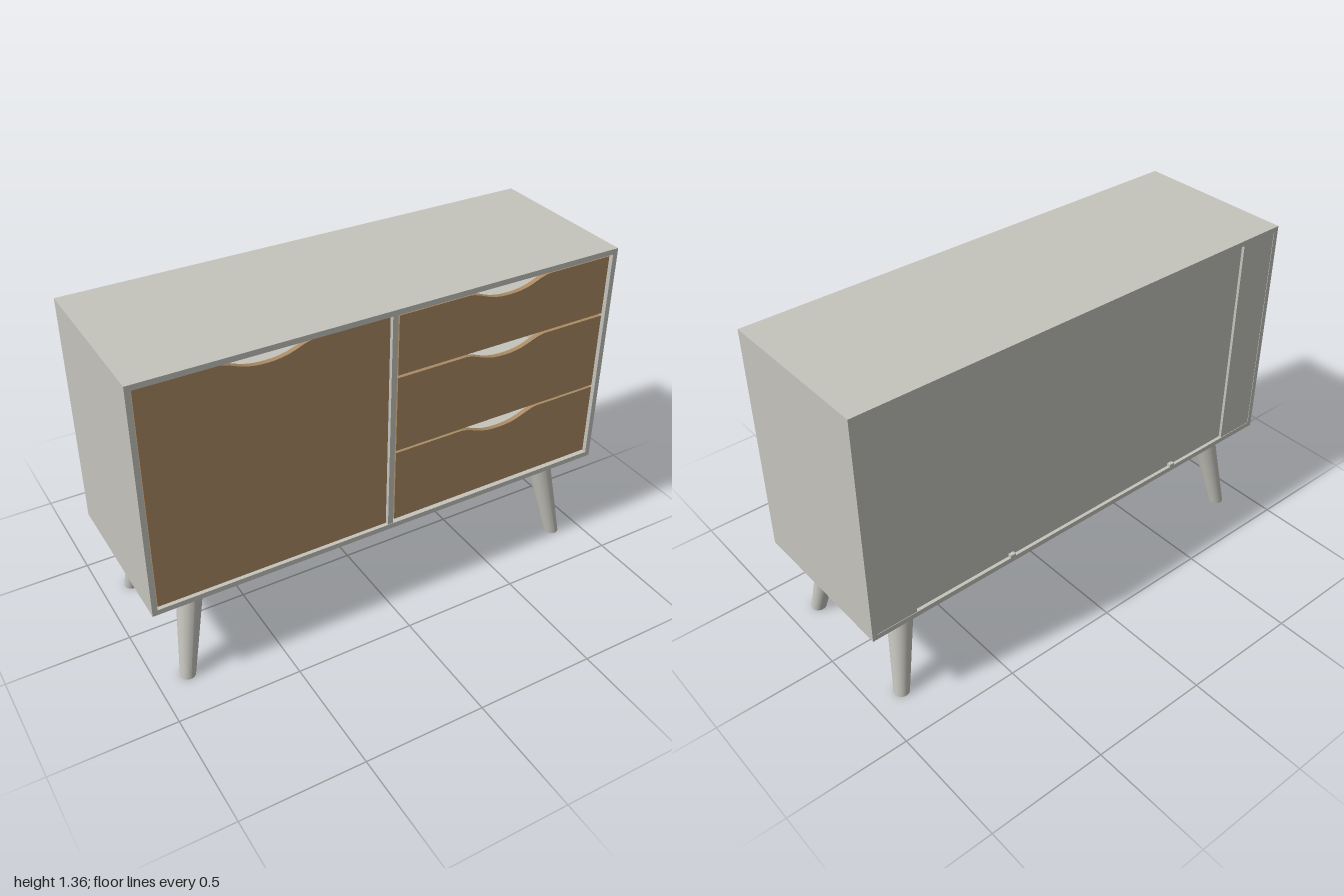
import * as THREE from 'three';

const paint = new THREE.MeshStandardMaterial({ name: 'warm grey paint', color: 0xc4c3bc });
const wood = new THREE.MeshStandardMaterial({ name: 'oak wood', color: 0xa98a63 });
const metal = new THREE.MeshStandardMaterial({ name: 'black metal', color: 0x141414 });

function mesh(parent, name, geometry, material) {
  const m = new THREE.Mesh(geometry, material);
  m.name = name;
  parent.add(m);
  return m;
}

// Box given by its extents along each axis
function slab(parent, name, material, [x0, x1], [y0, y1], [z0, z1]) {
  const g = new THREE.BoxGeometry(x1 - x0, y1 - y0, z1 - z0);
  g.translate((x0 + x1) / 2, (y0 + y1) / 2, (z0 + z1) / 2);
  return mesh(parent, name, g, material);
}

// Front panel with a curved finger pull cut into its top edge
function frontPanel(parent, name, x0, x1, y0, y1, pullX) {
  const w = 0.18, d = 0.042;
  const s = new THREE.Shape();
  s.moveTo(x0, y0);
  s.lineTo(x1, y0);
  s.lineTo(x1, y1);
  s.lineTo(pullX + w, y1);
  s.bezierCurveTo(pullX + 0.12, y1 - 0.008, pullX + 0.1, y1 - d, pullX, y1 - d);
  s.bezierCurveTo(pullX - 0.1, y1 - d, pullX - 0.12, y1 - 0.008, pullX - w, y1);
  s.lineTo(x0, y1);
  const g = new THREE.ExtrudeGeometry(s, { depth: 0.02, bevelEnabled: false, curveSegments: 10 });
  g.translate(0, 0, 0.314);
  return mesh(parent, name, g, wood);
}

// Tapered leg, sheared so that both ends stay level
function legGeometry(sx, sz) {
  const h = 0.358;
  const g = new THREE.CylinderGeometry(0.052, 0.031, h, 32);
  g.translate(0, h / 2, 0);
  const p = g.attributes.position;
  for (let i = 0; i < p.count; i++) {
    const t = p.getY(i) / h;
    p.setX(i, p.getX(i) + sx * (0.877 - 0.063 * t));
    p.setZ(i, p.getZ(i) + sz * (0.296 - 0.064 * t));
  }
  g.computeVertexNormals();
  return g;
}

// Long base rail with its ends and outer side tapering in towards the bottom
function railGeometry(side) {
  const g = new THREE.BoxGeometry(1.92, 0.025, 0.085);
  const p = g.attributes.position;
  for (let i = 0; i < p.count; i++) {
    if (p.getY(i) > 0) continue;
    p.setX(i, p.getX(i) - Math.sign(p.getX(i)) * 0.022);
    if (p.getZ(i) * side > 0) p.setZ(i, p.getZ(i) - side * 0.02);
  }
  g.translate(0, 0.3775, side * 0.2825);
  g.computeVertexNormals();
  return g;
}

export function createModel() {
  const model = new THREE.Group();
  model.name = 'sideboard';

  // Carcass
  const carcass = new THREE.Group();
  carcass.name = 'carcass';
  model.add(carcass);
  const depth = [-0.34, 0.34];
  slab(carcass, 'topBoard', paint, [-1, 1], [1.338, 1.36], depth);
  slab(carcass, 'bottomBoard', paint, [-1, 1], [0.39, 0.412], depth);
  slab(carcass, 'rightSide', paint, [-1, -0.979], [0.412, 1.338], depth);
  slab(carcass, 'leftSide', paint, [0.979, 1], [0.412, 1.338], depth);
  slab(carcass, 'divider', paint, [-0.011, 0.011], [0.412, 1.338], [-0.31, 0.338]);
  slab(carcass, 'shelf', paint, [-0.979, -0.011], [0.96, 0.98], [-0.31, 0.28]);

  // Recessed back between two upright strips
  slab(carcass, 'backPanel', paint, [-0.81, 0.81], [0.412, 1.338], [-0.326, -0.312]);
  slab(carcass, 'backStripRight', paint, [-0.979, -0.807], [0.412, 1.338], [-0.338, -0.312]);
  slab(carcass, 'backStripLeft', paint, [0.807, 0.979], [0.412, 1.338], [-0.338, -0.312]);
  for (const x of [0.36, -0.5])
    slab(carcass, 'backClip', paint, [x - 0.012, x + 0.012], [0.408, 0.425], [-0.342, -0.324]);

  // Door
  frontPanel(model, 'door', -0.975, -0.019, 0.422, 1.336, -0.5);

  // Drawers, each a front with an open box behind it
  for (const [y0, y1] of [[0.426, 0.742], [0.752, 1.074], [1.085, 1.331]]) {
    const drawer = new THREE.Group();
    drawer.name = 'drawer';
    model.add(drawer);
    frontPanel(drawer, 'drawerFront', 0.019, 0.966, y0, y1, 0.5);
    const sideY = [y0 + 0.02, y1 - 0.06];
    slab(drawer, 'drawerBottom', paint, [0.04, 0.945], [y0 + 0.02, y0 + 0.032], [-0.28, 0.314]);
    slab(drawer, 'drawerSide', paint, [0.03, 0.042], sideY, [-0.29, 0.314]);
    slab(drawer, 'drawerSide', paint, [0.943, 0.955], sideY, [-0.29, 0.314]);
    slab(drawer, 'drawerBack', paint, [0.042, 0.943], sideY, [-0.29, -0.278]);
  }

  // Base frame, leg plates and splayed legs
  const base = new THREE.Group();
  base.name = 'base';
  model.add(base);
  for (const s of [-1, 1]) {
    mesh(base, 'longRail', railGeometry(s), wood);
    slab(base, 'crossRail', wood, [s * 0.812 - 0.042, s * 0.812 + 0.042], [0.365, 0.39], [-0.24, 0.24]);
    for (const t of [-1, 1]) {
      const x = s * 0.812, z = t * 0.216;
      slab(base, 'legPlate', metal, [x - 0.073, x + 0.073], [0.357, 0.365], [z - 0.073, z + 0.073]);
      mesh(base, 'leg', legGeometry(s, t), paint);
    }
  }
  return model;
}
